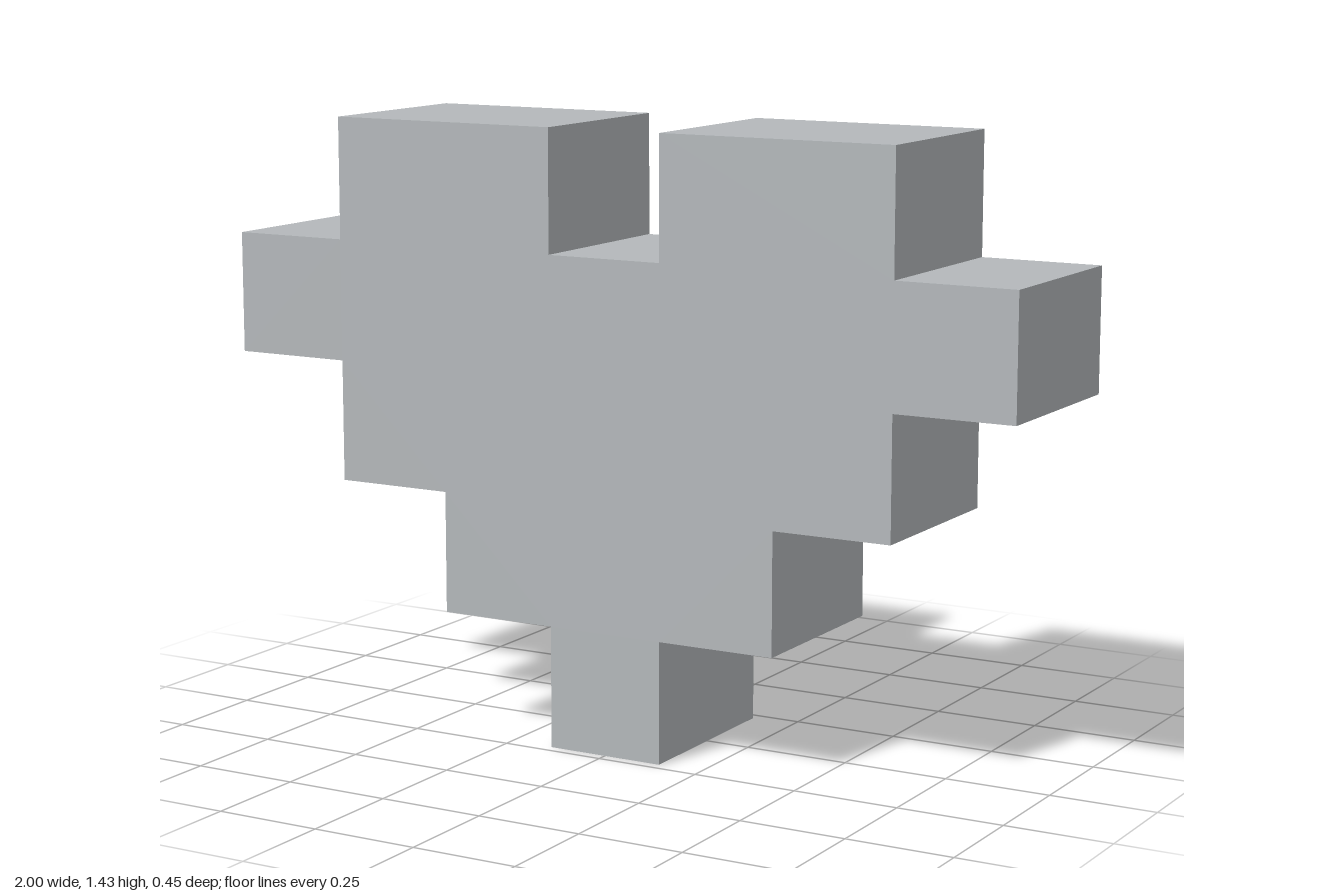
import * as THREE from 'three';

export function createModel() {
  const group = new THREE.Group();
  group.name = 'pixelHeart';

  const grey = new THREE.MeshStandardMaterial({ color: 0xb4b8bb });
  grey.name = 'light grey';

  const unit = 2 / 7; // one pixel: the heart is 7 wide and 5 high
  const depth = 0.45;

  // Stepped outline of the left half, from the bottom tip up to the top notch
  const half = [
    [0.5, 0], [0.5, 1], [1.5, 1], [1.5, 2], [2.5, 2], [2.5, 3], [3.5, 3],
    [3.5, 4], [2.5, 4], [2.5, 5], [0.5, 5], [0.5, 4],
  ];
  const mirrored = half.map(([x, y]) => [-x, y]).reverse();
  const outline = [...half, ...mirrored].map(([x, y]) => new THREE.Vector2(x * unit, y * unit));

  // Solid slab with sharp edges
  const geometry = new THREE.ExtrudeGeometry(new THREE.Shape(outline), { depth, bevelEnabled: false });
  geometry.translate(0, 0, -depth / 2);

  const heart = new THREE.Mesh(geometry, grey);
  heart.name = 'heartBody';
  group.add(heart);
  return group;
}
